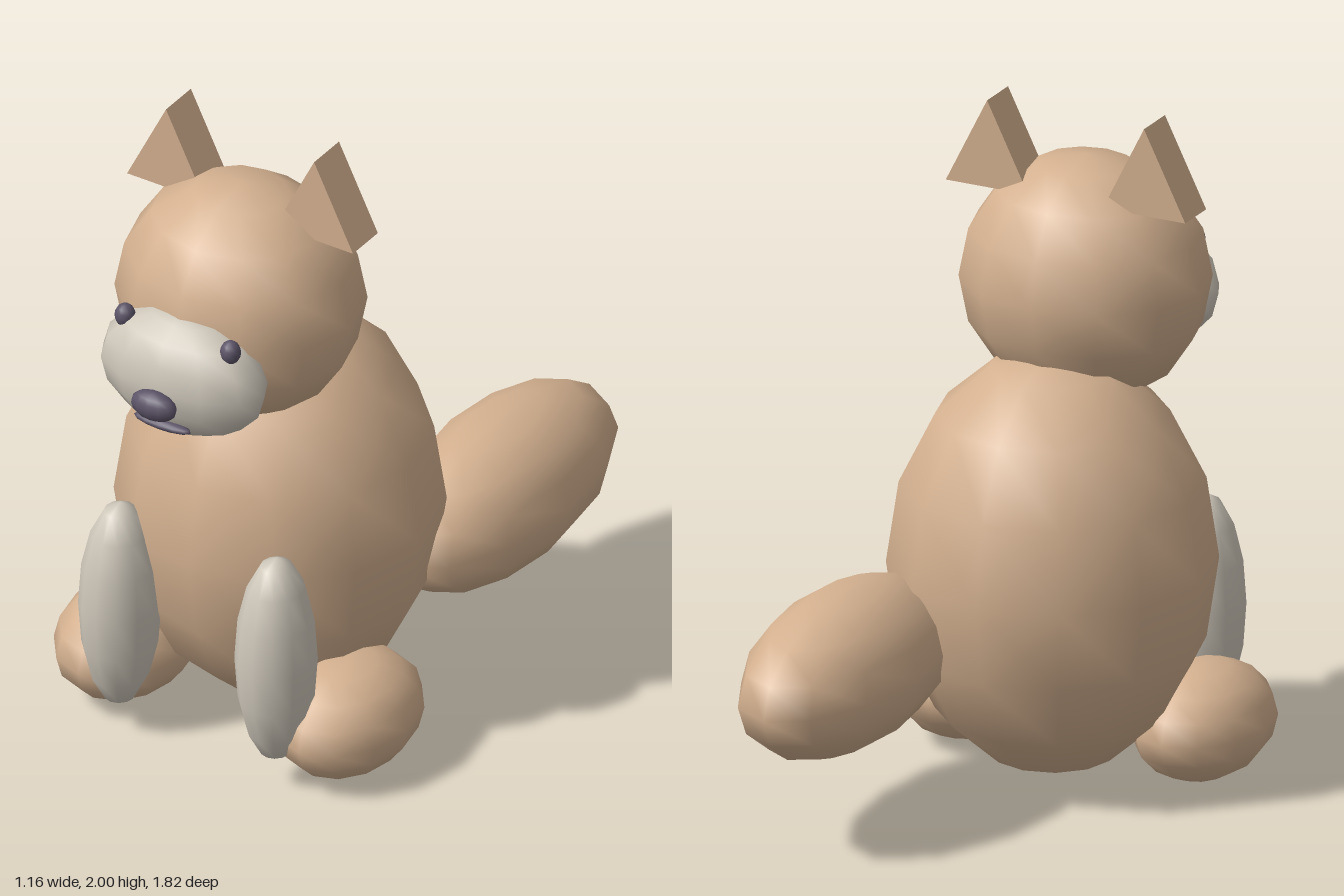
import * as THREE from 'three';

export function createModel() {
  const model = new THREE.Group();
  model.name = 'sittingAnimal';

  const fur = new THREE.MeshStandardMaterial({ color: 0xd3b08f });
  fur.name = 'tan fur';
  const pale = new THREE.MeshStandardMaterial({ color: 0xcfc8bb });
  pale.name = 'pale fur';
  const dark = new THREE.MeshStandardMaterial({ color: 0x5c5468 });
  dark.name = 'dark features';

  // The paired parts mirror about x = 0 here; the tail pushes the whole body slightly to -x
  const body = new THREE.Group();
  body.name = 'figure';
  body.position.x = -0.007;
  model.add(body);

  // Coarse smooth ellipsoid: every rounded part is one of these
  const ball = new THREE.SphereGeometry(1, 12, 8);
  function blob(name, material, position, radii) {
    const mesh = new THREE.Mesh(ball, material);
    mesh.name = name;
    mesh.position.set(...position);
    mesh.scale.set(...radii);
    body.add(mesh);
    return mesh;
  }

  // Body, head and tail
  blob('torso', fur, [0, 0.67, 0.21], [0.478, 0.635, 0.475]);
  blob('head', fur, [0, 1.47, 0.415], [0.372, 0.37, 0.338]);
  blob('tail', fur, [0.35, 0.485, -0.4], [0.235, 0.235, 0.51]);

  // Face
  blob('muzzle', pale, [0, 1.361, 0.712], [0.274, 0.193, 0.146]);
  blob('nose', dark, [0, 1.325, 0.87], [0.075, 0.046, 0.04]);
  blob('mouth', dark, [0, 1.24, 0.825], [0.097, 0.016, 0.025]);

  // Ear: triangular prism, centred in depth
  const earShape = new THREE.Shape([
    new THREE.Vector2(-0.133, 0),
    new THREE.Vector2(0.133, 0),
    new THREE.Vector2(0, 0.265),
  ]);
  const earGeometry = new THREE.ExtrudeGeometry(earShape, { depth: 0.13, bevelEnabled: false });
  earGeometry.translate(0, 0, -0.065);

  // Paired parts
  for (const [side, s] of [['left', 1], ['right', -1]]) {
    blob(side + 'Eye', dark, [s * 0.18, 1.503, 0.745], [0.031, 0.037, 0.03]);
    blob(side + 'FrontLeg', pale, [s * 0.267, 0.435, 0.64], [0.117, 0.341, 0.127]);
    blob(side + 'HindFoot', fur, [s * 0.376, 0.175, 0.425], [0.197, 0.171, 0.265]);

    const ear = new THREE.Mesh(earGeometry, fur);
    ear.name = side + 'Ear';
    ear.position.set(s * 0.253, 1.735, 0.355);
    body.add(ear);
  }

  return model;
}
